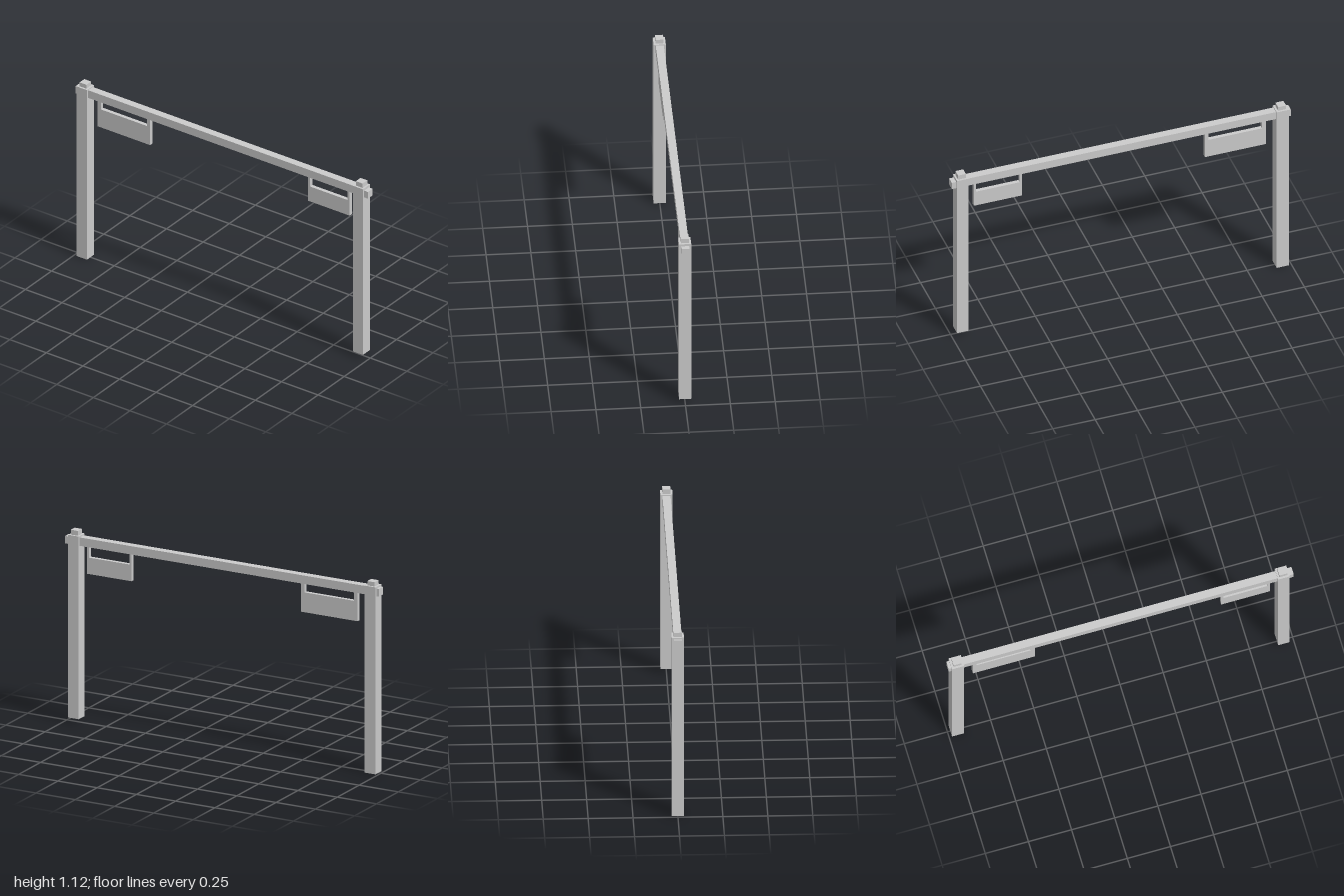
import * as THREE from 'three';

const material = new THREE.MeshStandardMaterial({ color: 0xcccccc, flatShading: true });

// Box given by its full width in x and its y and z ranges, centred on x = 0
function addBox(parent, name, width, y0, y1, z0, z1) {
  const mesh = new THREE.Mesh(new THREE.BoxGeometry(width, y1 - y0, z1 - z0), material);
  mesh.position.set(0, (y0 + y1) / 2, (z0 + z1) / 2);
  mesh.name = name;
  parent.add(mesh);
}

// Square post with a small block on top
function addPost(parent, name, z, size, bottom, top, capTop) {
  const post = new THREE.Group();
  post.name = name;
  addBox(post, 'postShaft', 0.068, bottom, top, z - size / 2, z + size / 2);
  addBox(post, 'postCap', 0.045, top - 0.01, capTop, z - 0.023, z + 0.023);
  parent.add(post);
}

// Board hung from the beam by a strap at each end
function addSign(parent, name, z0, z1, bottom, top, strap) {
  const sign = new THREE.Group();
  sign.name = name;
  const thickness = 0.022;
  addBox(sign, 'board', thickness, bottom, top, z0, z1);
  for (const z of [z0, z1 - strap]) addBox(sign, 'strap', thickness, top, 1.04, z, z + strap);
  parent.add(sign);
}

export function createModel() {
  const model = new THREE.Group();
  model.name = 'gateway';

  addPost(model, 'frontPost', 0.94, 0.067, 0.027, 1.094, 1.122);
  addPost(model, 'backPost', -0.948, 0.071, 0, 1.092, 1.117);

  // Crossbeam, with its ends passing through the posts
  addBox(model, 'crossbeam', 0.045, 1.037, 1.086, -0.948, 0.94);
  addBox(model, 'frontBeamEnd', 0.045, 1.037, 1.08, 0.94, 1);
  addBox(model, 'backBeamEnd', 0.045, 1.037, 1.082, -1, -0.948);

  addSign(model, 'frontSign', 0.583, 0.866, 0.877, 0.973, 0.013);
  addSign(model, 'backSign', -0.856, -0.497, 0.868, 0.984, 0.022);

  return model;
}
